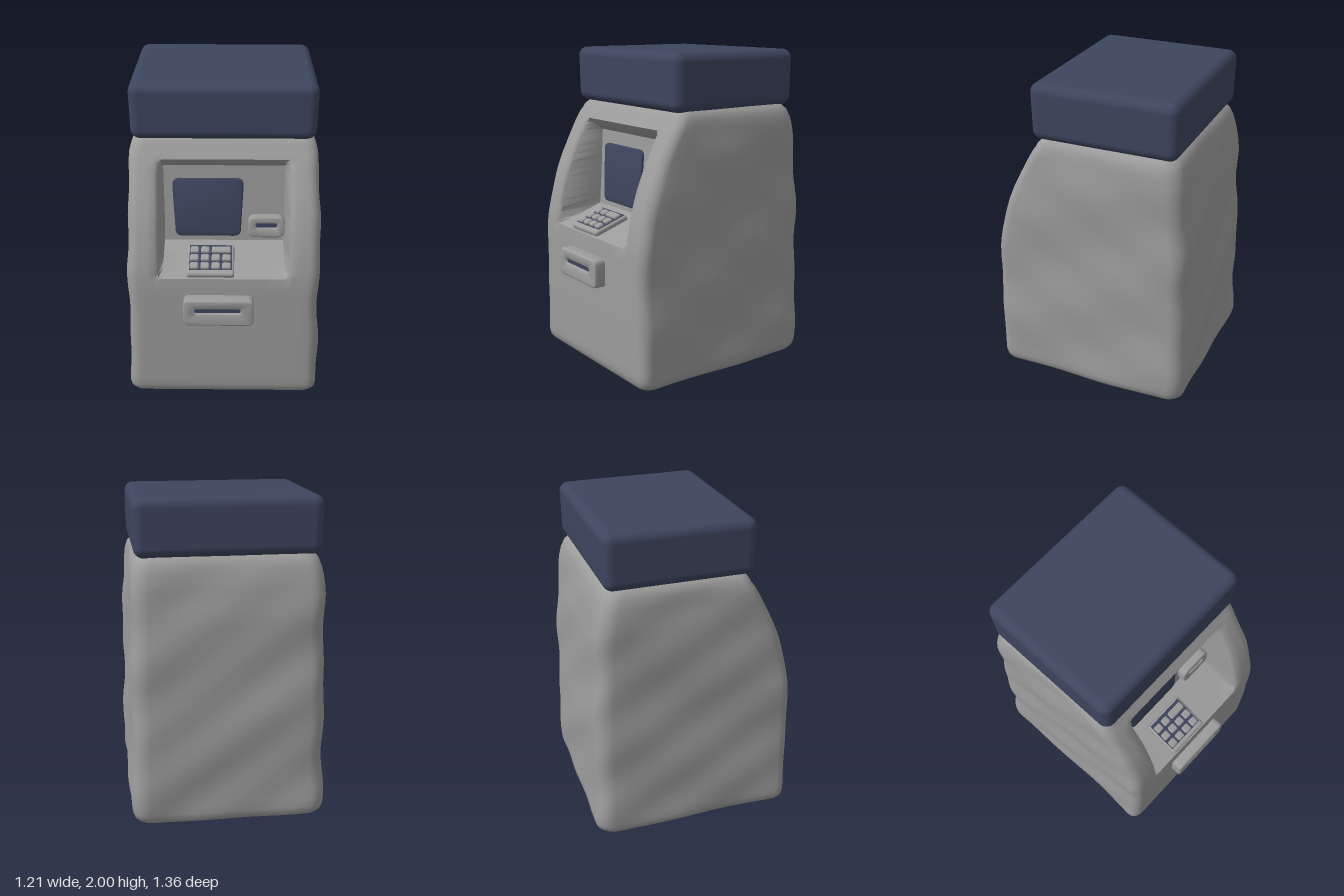
import * as THREE from 'three';
import { toCreasedNormals } from 'three/addons/utils/BufferGeometryUtils.js';
import { RoundedBoxGeometry } from 'three/addons/geometries/RoundedBoxGeometry.js';

// Linear lookup in a list of [y, value] pairs
function lookup(table, y) {
  for (let i = 1; i < table.length; i++) {
    const [y0, v0] = table[i - 1], [y1, v1] = table[i];
    if (y <= y1) return v0 + (v1 - v0) * (y - y0) / (y1 - y0);
  }
  return table[table.length - 1][1];
}

const FRONT = [[0, 0.605], [0.4, 0.61], [0.8, 0.607], [0.9, 0.597], [1, 0.58], [1.1, 0.556], [1.2, 0.525],
  [1.3, 0.485], [1.4, 0.437], [1.5, 0.385], [1.6, 0.327], [1.67, 0.31]];
const BACK = [[0, -0.67], [0.7, -0.665], [1.0, -0.652], [1.3, -0.64], [1.5, -0.615], [1.67, -0.575]];
const HALF_WIDTH = [[0, 0.6], [0.8, 0.585], [1.4, 0.58], [1.67, 0.56]];
const INSET = [[0, 0.055], [0.012, 0.022], [0.035, 0.006], [0.07, 0], [1.57, 0], [1.62, 0.008], [1.65, 0.028], [1.67, 0.06]];
const SHELF = { y0: 0.855, y1: 0.96 }, CEILING = { y0: 1.46, y1: 1.54 };
const panelZ = y => 0.29 - 0.06 * (y - SHELF.y1);

// Depth of the front surface inside the recess opening
function recessZ(y) {
  const table = [[0, 0], [SHELF.y0, 0], [SHELF.y1, 1], [CEILING.y0, 1], [CEILING.y1, 0], [2, 0]];
  const zf = lookup(FRONT, y);
  return zf + (panelZ(y) - zf) * lookup(table, y);
}

// One horizontal section of the cabinet, starting at the front centre
function section(y) {
  const e = lookup(INSET, y), zf = lookup(FRONT, y) - e, zb = lookup(BACK, y) + e, hw = lookup(HALF_WIDTH, y) - e;
  const inRecess = y > SHELF.y0 && y < CEILING.y1;
  const nz = inRecess ? recessZ(y) : zf;
  const half = [[0, nz], [0.13, nz], [0.26, nz], [0.373, nz], [0.398, Math.max(nz, zf - 0.014)], [0.415, zf], [0.46, zf]];
  const corner = (cx, cz, r, start) => {
    for (let k = 0; k <= 6; k++) {
      const a = start - k / 6 * Math.PI / 2;
      half.push([cx + r * Math.cos(a), cz + r * Math.sin(a)]);
    }
  };
  const rf = 0.07, rb = 0.1;
  corner(hw - rf, zf - rf, rf, Math.PI / 2);
  for (let k = 1; k < 12; k++) half.push([hw, zf - rf + (zb + rb - zf + rf) * k / 12]);
  corner(hw - rb, zb + rb, rb, 0);
  for (let k = 1; k <= 6; k++) half.push([(hw - rb) * (1 - k / 6), zb]);
  const mirrored = half.slice(1, -1).reverse().map(([x, z]) => [-x, z]);
  // Gentle hand-worked unevenness on the sides and back
  return [...half, ...mirrored].map(([x, z]) => {
    const n = 0.006 * Math.sin(9 * y + 5 * z + 4 * x) + 0.005 * Math.sin(15 * y - 9 * z + 11 * x);
    return [x + n * Math.sign(x) * (x / 0.6) ** 4, y, z - (z < 0 ? n * (z / 0.67) ** 4 : 0)];
  });
}

function cabinetGeometry() {
  const ys = [0, 0.012, 0.035, 0.07, SHELF.y0, SHELF.y1, CEILING.y0, CEILING.y1, 1.57, 1.595, 1.62, 1.635, 1.65, 1.67];
  for (let y = 0.12; y < 0.83; y += 0.06) ys.push(y);
  for (let y = 0.88; y < 0.95; y += 0.025) ys.push(y);
  for (let y = 1.01; y < 1.45; y += 0.05) ys.push(y);
  ys.push(1.485, 1.51);
  ys.sort((a, b) => a - b);
  const rings = ys.map(section), n = rings[0].length;
  const points = rings.flat(), index = [];
  for (let i = 0; i < rings.length - 1; i++) {
    for (let j = 0; j < n; j++) {
      const a = i * n + j, b = i * n + (j + 1) % n;
      index.push(a, b, b + n, a, b + n, a + n);
    }
  }
  // Close bottom and top
  const bottom = points.push([0, 0, 0]) - 1, top = points.push([0, 1.67, -0.13]) - 1, last = (rings.length - 1) * n;
  for (let j = 0; j < n; j++) {
    const k = (j + 1) % n;
    index.push(bottom, k, j, top, last + j, last + k);
  }
  const geo = new THREE.BufferGeometry();
  geo.setAttribute('position', new THREE.Float32BufferAttribute(points.flat(), 3));
  geo.setIndex(index);
  return toCreasedNormals(geo, 0.8);
}

// Rounded rectangle outline, optionally narrower at the bottom
function outline(w, h, r, Type = THREE.Shape, taper = 0) {
  const s = new Type(), x = w / 2, y = h / 2, b = x - taper;
  s.moveTo(-b + r, -y);
  s.lineTo(b - r, -y);
  s.quadraticCurveTo(b, -y, b, -y + r);
  s.lineTo(x, y - r);
  s.quadraticCurveTo(x, y, x - r, y);
  s.lineTo(-x + r, y);
  s.quadraticCurveTo(-x, y, -x, y - r);
  s.lineTo(-b, -y + r);
  s.quadraticCurveTo(-b, -y, -b + r, -y);
  return s;
}

// Soft-edged plate rising from z = 0 to z = depth
function plate(shape, depth, bevel) {
  const geo = new THREE.ExtrudeGeometry(shape, {
    depth: depth - bevel, bevelSize: bevel, bevelThickness: bevel, bevelOffset: -bevel, bevelSegments: 4, curveSegments: 6,
  });
  return toCreasedNormals(geo, 0.7);
}

export function createModel() {
  const grey = new THREE.MeshStandardMaterial({ color: 0x9c9c9c });
  grey.name = 'warm grey';
  const navy = new THREE.MeshStandardMaterial({ color: 0x3d455e });
  navy.name = 'navy';
  const model = new THREE.Group();
  model.name = 'cashMachine';
  const add = (parent, name, geo, mat, x = 0, y = 0, z = 0) => {
    const mesh = new THREE.Mesh(geo, mat);
    mesh.name = name;
    mesh.position.set(x, y, z);
    parent.add(mesh);
    return mesh;
  };
  const group = (name, x, y, z, tilt = 0) => {
    const g = new THREE.Group();
    g.name = name;
    g.position.set(x, y, z);
    g.rotation.x = tilt;
    model.add(g);
    return g;
  };

  add(model, 'cabinet', cabinetGeometry(), grey);

  // Top sign box, flaring slightly towards the top
  const cap = new RoundedBoxGeometry(1.13, 0.35, 0.93, 5, 0.06);
  const p = cap.attributes.position;
  for (let i = 0; i < p.count; i++) {
    const s = 0.99 + 0.03 * p.getY(i);
    p.setX(i, p.getX(i) * s);
    p.setZ(i, p.getZ(i) * s);
  }
  add(model, 'topSign', cap, navy, -0.003, 1.822, -0.12);

  // Screen on the recessed panel
  const lean = -Math.atan(0.06);
  const screen = group('screenGroup', -0.1, 1.185, panelZ(1.185), lean);
  add(screen, 'screen', plate(outline(0.44, 0.385, 0.045, THREE.Shape, 0.014), 0.016, 0.008), navy);

  // Framed slot: soft block with an opening and a dark plate inside
  const slotUnit = (name, g, w, h, r, depth, sw, sh, sx, sy) => {
    const shape = outline(w, h, r);
    const hole = outline(sw, sh, sh * 0.4, THREE.Path);
    shape.holes.push(new THREE.Path(hole.getPoints(4).map(v => v.add(new THREE.Vector2(sx, sy)))));
    add(g, name + 'Frame', plate(shape, depth, 0.012), grey);
    add(g, name + 'Slot', new THREE.BoxGeometry(sw + 0.01, sh + 0.01, 0.006), navy, sx, sy, depth - 0.02);
  };
  slotUnit('cardReader', group('cardReader', 0.265, 1.07, panelZ(1.07), lean), 0.23, 0.14, 0.05, 0.055, 0.13, 0.03, 0, 0.008);
  slotUnit('dispenser', group('dispenser', -0.03, 0.655, 0.6), 0.43, 0.18, 0.035, 0.08, 0.28, 0.03, -0.005, 0.012);

  // Keypad on the sloping shelf
  const keypad = group('keypad', -0.08, 0.9, 0.472, Math.atan(0.105 / 0.31));
  add(keypad, 'keypadBase', new RoundedBoxGeometry(0.29, 0.05, 0.25, 3, 0.015), grey, 0, 0.004, 0);
  add(keypad, 'keypadFace', new THREE.BoxGeometry(0.262, 0.006, 0.205), navy, 0, 0.028, -0.012);
  const key = (w, x, z) => add(keypad, 'key', new RoundedBoxGeometry(w, 0.026, 0.05, 3, 0.012), grey, x, 0.036, z);
  for (let row = 0; row < 3; row++) {
    const z = -0.07 + row * 0.066;
    for (let col = 0; col < (row ? 4 : 2); col++) key(0.054, -0.1 + col * 0.066, z);
    if (!row) key(0.12, 0.065, z);
  }
  return model;
}
